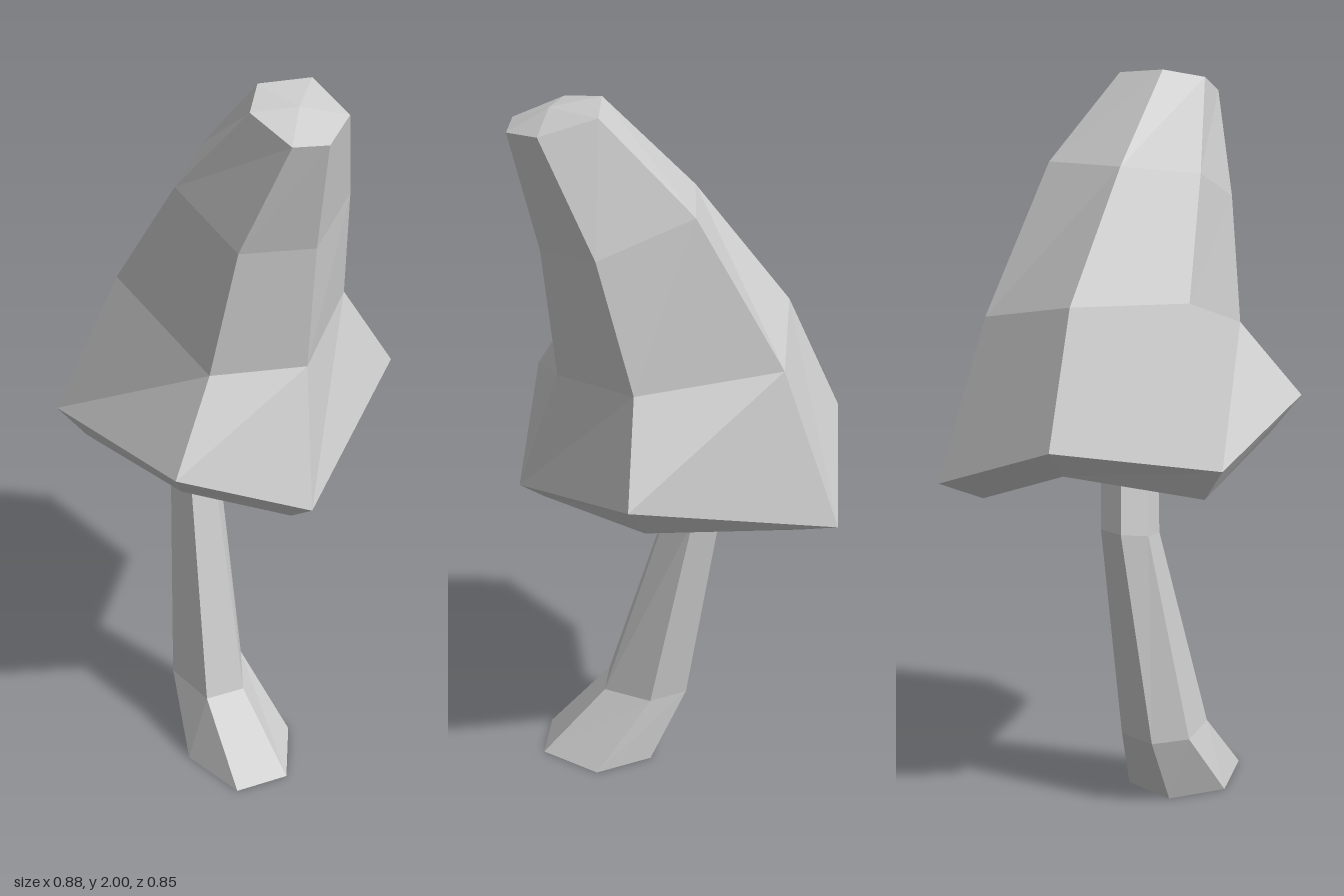
import * as THREE from 'three';

// Skin a stack of equal-sized rings; one-point rings at either end close it as a fan.
function loft(name, rings) {
  const pos = [];
  const tri = (a, b, c) => pos.push(...a, ...b, ...c);
  for (let r = 0; r < rings.length - 1; r++) {
    const lo = rings[r], hi = rings[r + 1];
    const n = Math.max(lo.length, hi.length);
    for (let i = 0; i < n; i++) {
      const j = (i + 1) % n;
      if (lo.length === 1) tri(lo[0], hi[j], hi[i]);
      else if (hi.length === 1) tri(lo[i], lo[j], hi[0]);
      else {
        tri(lo[i], lo[j], hi[j]);
        tri(lo[i], hi[j], hi[i]);
      }
    }
  }
  const g = new THREE.BufferGeometry();
  g.setAttribute('position', new THREE.Float32BufferAttribute(pos, 3));
  g.computeVertexNormals();
  const mesh = new THREE.Mesh(g, new THREE.MeshStandardMaterial({ color: 0xcccccc, flatShading: true }));
  mesh.name = name;
  return mesh;
}

// Six-sided stem ring: left/right corners plus front and back pairs.
// x: [right, inner right, inner left, left], z: [front, middle, back], y: [front, back]
function stemRing([x0, x1, x2, x3], [zf, zm, zb], [yf, yb]) {
  const ym = (yf + yb) / 2;
  return [[x3, ym, zm], [x2, yb, zb], [x1, yb, zb], [x0, ym, zm], [x1, yf, zf], [x2, yf, zf]];
}

export function createModel() {
  const group = new THREE.Group();
  group.name = 'mushroom';

  // Cap rings, each running left, back left, back right, right, front right, front left
  const lip = [[0.35, 1.0, 0.05], [0.17, 0.92, -0.33], [-0.13, 1.04, -0.34],
    [-0.37, 0.97, -0.08], [-0.26, 1.05, 0.35], [0.03, 0.9, 0.36]];
  const rim = [[0.44, 1.11, 0.08], [0.23, 0.97, -0.43], [-0.16, 1.12, -0.42],
    [-0.44, 1.06, -0.1], [-0.3, 1.14, 0.42], [0.06, 0.95, 0.42]];
  const waist = [[0.29, 1.35, 0.08], [0.2, 1.39, -0.28], [-0.1, 1.45, -0.28],
    [-0.28, 1.45, -0.04], [-0.17, 1.34, 0.31], [0.09, 1.3, 0.3]];
  const shoulder = [[0.25, 1.68, 0.17], [0.18, 1.77, -0.06], [-0.05, 1.77, -0.04],
    [-0.18, 1.75, 0.12], [-0.11, 1.67, 0.34], [0.09, 1.64, 0.33]];
  const crown = [[0.17, 1.95, 0.31], [0.14, 1.99, 0.17], [0, 2, 0.18],
    [-0.06, 1.98, 0.28], [-0.01, 1.94, 0.4], [0.08, 1.93, 0.4]];

  // Hollow underside, a shrunken copy of the waist
  const inner = waist.map(([x, y, z]) => [x * 0.78, y - 0.08, z * 0.78]);
  group.add(loft('cap', [[[0, 1.32, 0]], inner, lip, rim, waist, shoulder, crown, [[0.05, 1.985, 0.3]]]));

  // Bent stem, running up into the hollow cap
  group.add(loft('stem', [
    [[-0.055, 0, 0.23]],
    stemRing([-0.21, -0.13, 0.02, 0.1], [0.4, 0.23, 0.08], [0, 0]),
    stemRing([-0.2, -0.15, -0.04, 0.01], [0.22, 0.08, -0.02], [0.2, 0.21]),
    stemRing([-0.15, -0.12, -0.05, -0.01], [0.04, -0.04, -0.115], [0.8, 0.83]),
    stemRing([-0.12, -0.09, -0.02, 0.01], [0.065, -0.01, -0.08], [1.08, 1.06]),
    stemRing([-0.09, -0.06, 0.01, 0.04], [0.09, 0.02, -0.05], [1.33, 1.33]),
    [[-0.025, 1.33, 0.02]],
  ]));

  return group;
}
